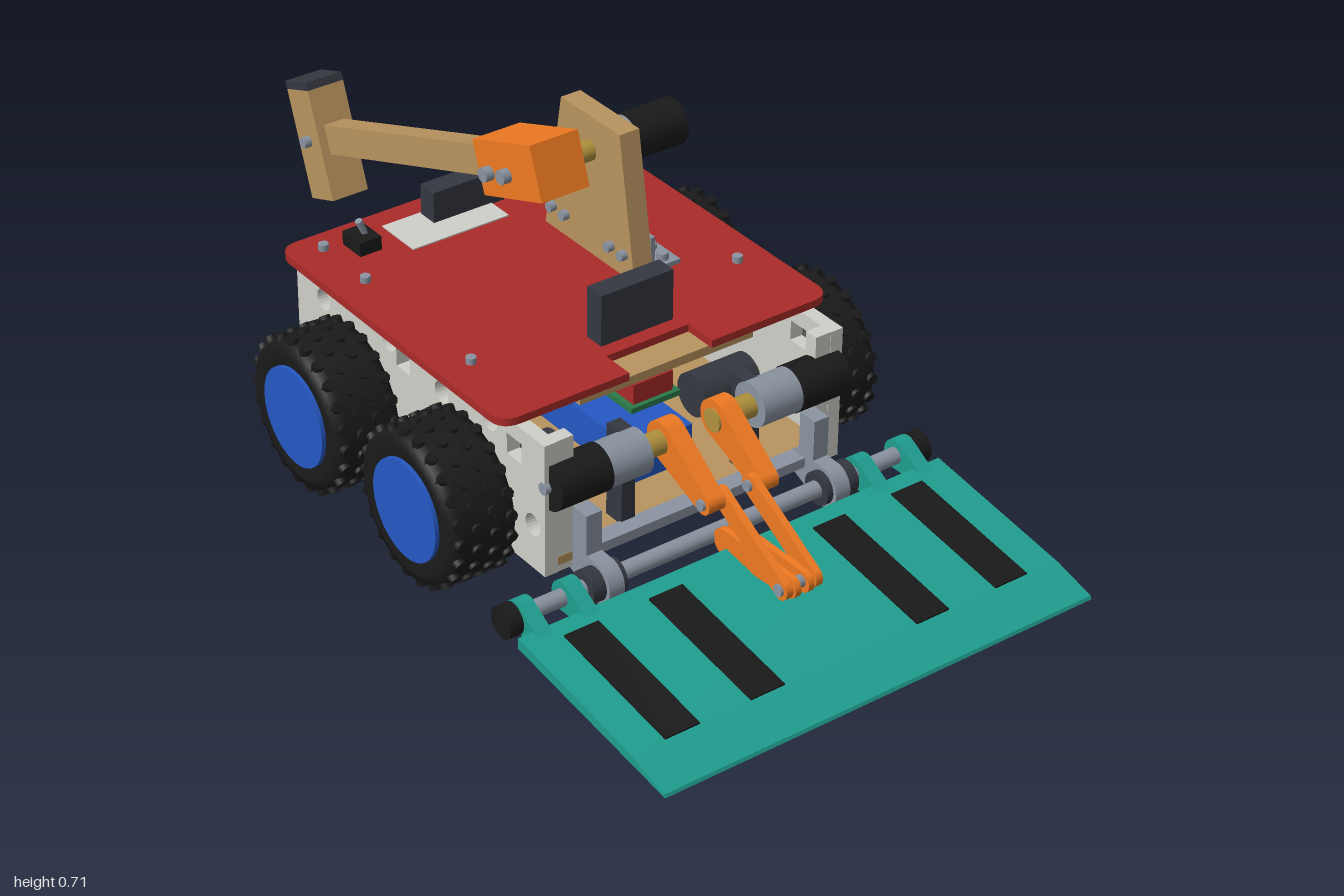
import * as THREE from 'three';
import { mergeGeometries } from 'three/addons/utils/BufferGeometryUtils.js';

const mat = (color) => new THREE.MeshStandardMaterial({ color });
const M = {
  body: mat(0xd0d0c9), red: mat(0xa92b29), tan: mat(0xb8935f), black: mat(0x1a1a1a), dark: mat(0x353840),
  blue: mat(0x2558c4), teal: mat(0x1f9e8f), orange: mat(0xf07a22), steel: mat(0x8a93a0), gold: mat(0xb0913c),
  green: mat(0x2a7a4a),
};

function add(parent, name, geo, material, x = 0, y = 0, z = 0) {
  const m = new THREE.Mesh(geo, material);
  m.name = name;
  m.position.set(x, y, z);
  parent.add(m);
  return m;
}

// Box given by its extents
function box(parent, name, material, x0, x1, y0, y1, z0, z1) {
  return add(parent, name, new THREE.BoxGeometry(x1 - x0, y1 - y0, z1 - z0), material,
    (x0 + x1) / 2, (y0 + y1) / 2, (z0 + z1) / 2);
}

// Cylinder along x between x0 and x1
function rod(parent, name, material, x0, x1, y, z, r, sides = 24) {
  const g = new THREE.CylinderGeometry(r, r, Math.abs(x1 - x0), sides).rotateZ(Math.PI / 2);
  return add(parent, name, g, material, (x0 + x1) / 2, y, z);
}

// Upright screw head
const screw = (parent, x, y, z, r = 0.011, h = 0.014) =>
  add(parent, 'screw', new THREE.CylinderGeometry(r, r, h, 12), M.steel, x, y + h / 2, z);

// Shape drawn in (z, y), extruded along x and centred at x
function sideProfile(parent, name, material, shape, x, width) {
  const g = new THREE.ExtrudeGeometry(shape, { depth: width, bevelEnabled: false, curveSegments: 12 });
  g.translate(0, 0, -width / 2).rotateY(-Math.PI / 2);
  return add(parent, name, g, material, x);
}

const poly = (pts) => new THREE.Shape(pts.map((p) => new THREE.Vector2(...p)));

// Round-ended bar between two (z, y) points
function bar(parent, name, material, x, width, [z0, y0], [z1, y1], r0, r1 = r0) {
  const a = Math.atan2(y1 - y0, z1 - z0), q = Math.PI / 2;
  const s = new THREE.Shape();
  s.absarc(z0, y0, r0, a + q, a + 3 * q, false);
  s.absarc(z1, y1, r1, a - q, a + q, false);
  s.closePath();
  return sideProfile(parent, name, material, s, x, width);
}

function makeWheel(side, z) {
  const w = new THREE.Group();
  w.name = 'wheel';
  // Tyre with rounded shoulders
  const profile = [[0.105, -0.07], [0.135, -0.077], [0.157, -0.07], [0.163, -0.05], [0.163, 0.05],
    [0.157, 0.07], [0.135, 0.077], [0.105, 0.07], [0.105, -0.07]].map((p) => new THREE.Vector2(...p));
  add(w, 'tyre', new THREE.LatheGeometry(profile, 40).rotateZ(Math.PI / 2), M.black);
  // Staggered tread knobs
  const knobs = [];
  [-0.058, -0.02, 0.02, 0.058].forEach((x, row) => {
    for (let i = 0; i < 22; i++) {
      const k = new THREE.CylinderGeometry(0.012, 0.014, 0.02, 8);
      k.translate(0, 0.16, 0).rotateX(((i + (row % 2) / 2) / 22) * Math.PI * 2).translate(x, 0, 0);
      knobs.push(k);
    }
  });
  add(w, 'treadKnobs', mergeGeometries(knobs), M.black);
  rod(w, 'hub', M.blue, -0.06, 0.08, 0, 0, 0.108, 40);
  rod(w, 'axle', M.gold, -0.12, -0.05, 0, 0, 0.018);
  w.position.set(0.445, 0.17, z);
  const g = new THREE.Group();
  g.add(w);
  g.scale.x = 1;
  if (side < 0) g.rotation.y = Math.PI, w.position.z = -z;
  return g;
}

function makeChassis(root) {
  const g = new THREE.Group();
  g.name = 'chassis';
  root.add(g);
  for (const s of [-1, 1]) {
    // Side panel with lightening holes
    const p = poly([[-0.46, 0.08], [0.41, 0.08], [0.41, 0.38], [-0.46, 0.38]]);
    for (const [z, y] of [[0.23, 0.345], [0.065, 0.32], [-0.02, 0.14], [-0.12, 0.345], [-0.36, 0.32], [0.37, 0.18]]) {
      p.holes.push(new THREE.Path().absarc(z, y, 0.024, 0, Math.PI * 2, true));
    }
    for (const z of [0.31, -0.07]) {
      p.holes.push(new THREE.Path([[z - 0.024, 0.3], [z - 0.024, 0.345], [z + 0.024, 0.345], [z + 0.024, 0.3]]
        .map((q) => new THREE.Vector2(...q))));
    }
    sideProfile(g, 'sidePanel', M.body, p, s * 0.345, 0.03);
    add(g, 'frontPost', new THREE.BoxGeometry(0.05, 0.3, 0.03), M.body, s * 0.318, 0.23, 0.394);
    for (const z of [0.175, -0.225]) {
      g.add(makeWheel(s, z));
      // Drive motors inside the body
      rod(g, 'driveMotor', M.dark, s * 0.17, s * 0.31, 0.17, z, 0.048);
    }
  }
  box(g, 'rearPanel', M.body, -0.33, 0.33, 0.08, 0.38, -0.46, -0.43);
  box(g, 'floor', M.tan, -0.33, 0.33, 0.095, 0.115, -0.43, 0.41);
  box(g, 'underDeck', M.tan, -0.33, 0.33, 0.365, 0.385, -0.43, 0.27);
  box(g, 'deckTab', M.tan, -0.21, 0.21, 0.365, 0.385, 0.27, 0.315);
  box(g, 'battery', M.blue, -0.075, 0.075, 0.12, 0.205, -0.15, 0.3);
  box(g, 'circuitBoard', M.green, -0.06, 0.06, 0.268, 0.28, -0.1, 0.28);
  box(g, 'controller', M.red, -0.048, 0.048, 0.28, 0.325, -0.1, 0.27);
}

function makeDeck(root) {
  const g = new THREE.Group();
  g.name = 'deck';
  root.add(g);
  // Rounded plate with a notch in the front edge
  const X = 0.398, F = -0.325, B = 0.468, r = 0.045, s = new THREE.Shape();
  s.moveTo(-X + r, F).lineTo(-0.1, F).lineTo(-0.1, -0.25).lineTo(0.1, -0.25).lineTo(0.1, F).lineTo(X - r, F);
  s.quadraticCurveTo(X, F, X, F + r).lineTo(X, B - r).quadraticCurveTo(X, B, X - r, B);
  s.lineTo(-X + r, B).quadraticCurveTo(-X, B, -X, B - r).lineTo(-X, F + r).quadraticCurveTo(-X, F, -X + r, F);
  const geo = new THREE.ExtrudeGeometry(s, { depth: 0.017, bevelEnabled: false }).rotateX(-Math.PI / 2);
  add(g, 'topPlate', geo, M.red, 0, 0.385, 0);
  for (const x of [-0.325, 0.325]) for (const z of [-0.41, -0.255, 0.117]) screw(g, x, 0.402, z);
  box(g, 'accessPanel', M.body, -0.18, 0.055, 0.395, 0.405, -0.415, -0.3);
  box(g, 'frontStop', M.dark, -0.088, 0.086, 0.4, 0.516, 0.17, 0.217);
  box(g, 'rearStop', M.dark, -0.088, 0.086, 0.4, 0.475, -0.41, -0.362);
  box(g, 'switchBody', M.black, -0.282, -0.23, 0.4, 0.433, -0.405, -0.34);
  const lever = add(g, 'switchLever', new THREE.CylinderGeometry(0.008, 0.006, 0.045, 10), M.steel, -0.255, 0.445, -0.372);
  lever.rotation.z = 0.4;
}

function makeHammer(root) {
  const g = new THREE.Group();
  g.name = 'hammer';
  root.add(g);
  const Y = 0.638, Z = -0.087;
  sideProfile(g, 'tower', M.tan, poly([[0.066, 0.4], [-0.24, 0.4], [-0.185, 0.715], [0.012, 0.715]]), 0.129, 0.048);
  // Angle brackets at the tower foot
  for (const z of [0.01, -0.188]) {
    box(g, 'bracketFoot', M.steel, 0.153, 0.228, 0.402, 0.412, z - 0.045, z + 0.045);
    box(g, 'bracketUpright', M.steel, 0.153, 0.163, 0.402, 0.485, z - 0.045, z + 0.045);
    for (const d of [-0.022, 0.022]) {
      screw(g, 0.2, 0.412, z + d, 0.013, 0.015);
      rod(g, 'bracketBolt', M.steel, 0.09, 0.178, 0.453, z + d, 0.011, 12);
    }
  }
  rod(g, 'gearbox', M.steel, 0.153, 0.192, Y, Z, 0.048, 32);
  rod(g, 'motor', M.black, 0.192, 0.315, Y, Z, 0.05, 32);
  rod(g, 'motorBoss', M.steel, 0.315, 0.33, Y, Z, 0.013);
  for (const d of [-0.03, 0.03]) box(g, 'terminal', M.gold, 0.315, 0.326, Y + d - 0.008, Y + d + 0.008, Z - 0.003, Z + 0.003);
  rod(g, 'driveShaft', M.gold, 0.05, 0.11, Y, Z, 0.022);

  // Swinging arm, laid out along local -z
  const arm = new THREE.Group();
  arm.name = 'swingArm';
  arm.position.set(0, Y + 0.002, Z);
  arm.rotation.x = -0.354;
  g.add(arm);
  box(arm, 'armHub', M.orange, -0.058, 0.058, -0.06, 0.058, -0.165, 0.047);
  box(arm, 'handle', M.tan, -0.025, 0.025, -0.033, 0.033, -0.85, -0.16);
  box(arm, 'hammerHead', M.tan, -0.045, 0.045, -0.133, 0.115, -0.925, -0.834);
  box(arm, 'hammerCap', M.dark, -0.045, 0.045, 0.115, 0.133, -0.925, -0.834);
  rod(arm, 'headBolt', M.steel, -0.062, 0.062, 0, -0.88, 0.013, 12);
  for (const z of [-0.06, -0.125]) rod(arm, 'hubBolt', M.steel, -0.077, 0.077, -0.01, z, 0.016, 12);
}

function makeScoop(root) {
  const g = new THREE.Group();
  g.name = 'scoop';
  root.add(g);
  sideProfile(g, 'scoopPlate', M.teal, poly([[0.54, 0.058], [0.998, 0.003], [0.995, 0.01], [0.9, 0.034], [0.54, 0.082]]), 0, 1.03);
  // Grip strips lying on the plate
  const strip = poly([[0.58, 0.07], [0.895, 0.028], [0.895, 0.038], [0.58, 0.08]]);
  for (const s of [-1, 1]) {
    for (const x of [0.2, 0.398]) sideProfile(g, 'gripStrip', M.black, strip, s * x, 0.08);
    for (const x of [0.465, 0.357]) bar(g, 'hingeLug', M.teal, s * x, 0.034, [0.485, 0.084], [0.56, 0.066], 0.034, 0.012);
    rod(g, 'endCollar', M.black, s * 0.486, s * 0.515, 0.084, 0.485, 0.034);
    rod(g, 'hingeBearing', M.dark, s * 0.245, s * 0.325, 0.084, 0.485, 0.036);
    bar(g, 'bearingArm', M.steel, s * 0.277, 0.036, [0.41, 0.1], [0.485, 0.084], 0.03, 0.045);
    box(g, 'hingeUpright', M.steel, s * 0.277 - 0.018, s * 0.277 + 0.018, 0.08, 0.22, 0.41, 0.455);
    // Lift motor and its mount
    rod(g, 'liftMotor', M.black, s * 0.23, s * 0.35, 0.282, 0.405, 0.05, 32);
    rod(g, 'liftGearbox', M.steel, s * 0.135, s * 0.23, 0.282, 0.405, 0.048, 32);
    rod(g, 'liftShaft', M.gold, s * 0.04, s * 0.135, 0.282, 0.405, 0.025);
    rod(g, 'motorBoss', M.steel, s * 0.35, s * 0.362, 0.282, 0.405, 0.013);
    box(g, 'motorMount', M.dark, s * 0.152 - 0.016, s * 0.152 + 0.016, 0.11, 0.325, 0.345, 0.395);
    // Linkage: crank, link and scoop horn
    bar(g, 'crank', M.orange, s * 0.065, 0.04, [0.405, 0.283], [0.54, 0.21], 0.042, 0.022);
    bar(g, 'link', M.orange, s * 0.036, 0.016, [0.54, 0.21], [0.73, 0.105], 0.022);
    bar(g, 'scoopHorn', M.orange, s * 0.016, 0.014, [0.73, 0.102], [0.53, 0.09], 0.023, 0.03);
    rod(g, 'linkPin', M.steel, s * 0.02, s * 0.092, 0.21, 0.54, 0.012, 12);
    for (const x of [0.06, 0.12]) add(g, 'floorBolt', new THREE.CylinderGeometry(0.01, 0.01, 0.03, 12), M.steel, s * x, 0.088, 0.37);
  }
  rod(g, 'hornPin', M.steel, -0.05, 0.05, 0.105, 0.73, 0.013, 12);
  rod(g, 'hingeRod', M.steel, -0.505, 0.505, 0.084, 0.485, 0.018);
  box(g, 'crossRail', M.steel, -0.26, 0.26, 0.1, 0.122, 0.39, 0.43);
}

export function createModel() {
  const root = new THREE.Group();
  root.name = 'hammerRobot';
  makeChassis(root);
  makeDeck(root);
  makeHammer(root);
  makeScoop(root);
  return root;
}
